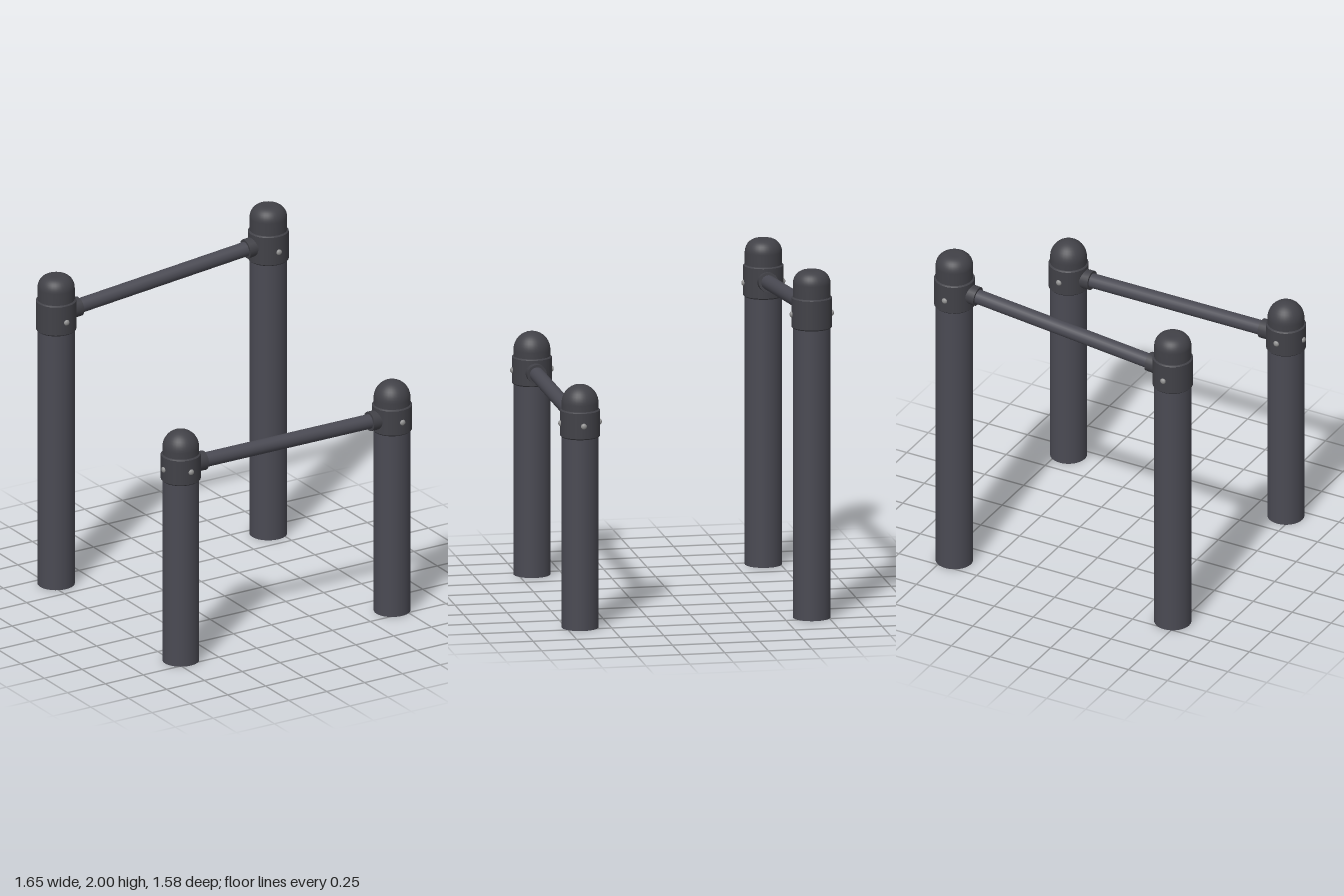
import * as THREE from 'three';

export function createModel() {
  const model = new THREE.Group();
  model.name = 'parallelBars';
  const tubeMat = new THREE.MeshStandardMaterial({ color: 0x4a4a53, side: THREE.DoubleSide });
  tubeMat.name = 'tube grey';
  const fittingMat = new THREE.MeshStandardMaterial({ color: 0x414147, side: THREE.DoubleSide });
  fittingMat.name = 'fitting grey';
  const boltMat = new THREE.MeshStandardMaterial({ color: 0x929292 });
  boltMat.name = 'bolt steel';

  const add = (parent, name, geometry, material) => {
    const mesh = new THREE.Mesh(geometry, material);
    mesh.name = name;
    parent.add(mesh);
    return mesh;
  };

  // Straight cylinder between two points
  const rod = (name, a, b, radius, material, sides = 24) => {
    const dir = b.clone().sub(a);
    const mesh = add(model, name, new THREE.CylinderGeometry(radius, radius, dir.length(), sides), material);
    mesh.position.copy(a).add(b).multiplyScalar(0.5);
    mesh.quaternion.setFromUnitVectors(new THREE.Vector3(0, 1, 0), dir.normalize());
    return mesh;
  };

  // Revolved shape with each profile segment shaded separately where edges are sharp
  const lathe = (pairs) => new THREE.LatheGeometry(pairs.map(([r, y]) => new THREE.Vector2(r, y)), 32);

  const posts = [
    { name: 'frontRightPost', x: -0.703, z: 0.67, top: 1.4, low: 1.1, high: 1.26, r: 0.104, dome: 0.105, flat: 0, side: -1 },
    { name: 'frontLeftPost', x: 0.693, z: 0.67, top: 1.4, low: 1.1, high: 1.26, r: 0.104, dome: 0.105, flat: 0, side: 1 },
    { name: 'backRightPost', x: -0.708, z: -0.658, top: 1.875, low: 1.545, high: 1.73, r: 0.105, dome: 0.075, flat: 0.035 },
    { name: 'backLeftPost', x: 0.694, z: -0.658, top: 2, low: 1.67, high: 1.85, r: 0.106, dome: 0.075, flat: 0.035 },
  ];

  for (const p of posts) {
    const post = new THREE.Group();
    post.name = p.name;
    post.position.set(p.x, 0, p.z);
    model.add(post);

    // Hollow upright tube, open at the foot
    const tube = new THREE.CylinderGeometry(p.r, p.r, p.high, 32, 1, true);
    add(post, 'upright', tube, tubeMat).position.y = p.high / 2;

    // Domed cap
    const cap = [[p.r, p.high - 0.02]];
    for (let i = 0; i <= 10; i++) {
      const a = (i / 10) * Math.PI / 2;
      cap.push([p.flat + (p.r - p.flat) * Math.cos(a), p.top - p.dome + p.dome * Math.sin(a)]);
    }
    if (p.flat) cap.push([0, p.top]);
    add(post, 'domeCap', lathe(cap), fittingMat);

    // Clamp collar with small chamfers
    const R = p.r + 0.009, c = 0.007;
    add(post, 'collar', lathe([
      [p.r - 0.002, p.low], [R - c, p.low], [R, p.low + c], [R, p.low + c],
      [R, p.high - c], [R, p.high - c], [R - c, p.high], [p.r - 0.004, p.high],
    ]), fittingMat);

    // Round-headed bolts on front and back, plus the outer side on the front pair
    const y = p.low + 0.08;
    const spots = [[0, 1], [0, -1]];
    if (p.side) spots.push([p.side, 0]);
    for (const [dx, dz] of spots) {
      const bolt = add(post, 'bolt', new THREE.SphereGeometry(0.017, 14, 10), boltMat);
      bolt.scale.set(dx ? 0.7 : 1, 1, dz ? 0.7 : 1);
      bolt.position.set(dx * R, y, dz * R);
    }
  }

  // Horizontal front bar and sloping back bar, each with end sockets
  const bars = [
    ['frontBar', posts[0], posts[1], 1.182, 1.18],
    ['backBar', posts[2], posts[3], 1.648, 1.768],
  ];
  for (const [name, right, left, y0, y1] of bars) {
    const a = new THREE.Vector3(right.x + 0.09, y0, right.z);
    const b = new THREE.Vector3(left.x - 0.09, y1, left.z);
    rod(name, a, b, 0.042, tubeMat);
    const step = b.clone().sub(a).normalize().multiplyScalar(0.062);
    rod('rightSocket', a, a.clone().add(step), 0.056, fittingMat);
    rod('leftSocket', b.clone().sub(step), b, 0.056, fittingMat);
  }
  return model;
}
